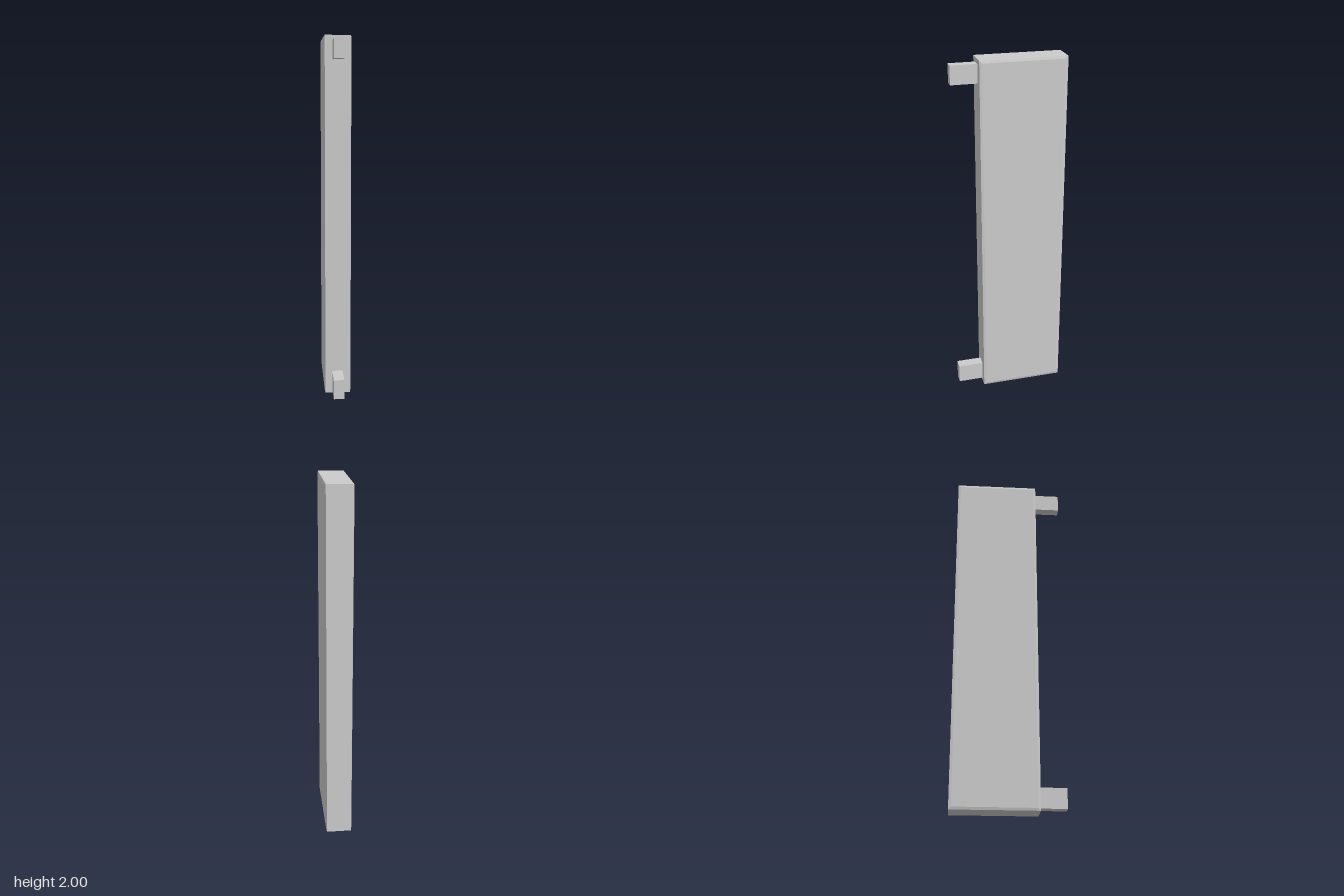
import * as THREE from 'three';

const material = new THREE.MeshStandardMaterial({ color: 0xcccccc, flatShading: true });

// Box given by its [min, max] range on each axis
function addBox(group, name, [x0, x1], [y0, y1], [z0, z1]) {
  const mesh = new THREE.Mesh(new THREE.BoxGeometry(x1 - x0, y1 - y0, z1 - z0), material);
  mesh.position.set((x0 + x1) / 2, (y0 + y1) / 2, (z0 + z1) / 2);
  mesh.name = name;
  group.add(mesh);
}

// Raised side face: a box whose outer face is inset to form a shallow bevel
function addRaisedFace(group, name, side) {
  const inner = 0.07, rise = 0.004, inset = 0.014;
  const height = 2, depth = 0.475;
  const geometry = new THREE.BoxGeometry(rise, height, depth);
  const p = geometry.attributes.position;
  for (let i = 0; i < p.count; i++) {
    if (p.getX(i) * side > 0) {
      p.setY(i, p.getY(i) - Math.sign(p.getY(i)) * inset);
      p.setZ(i, p.getZ(i) - Math.sign(p.getZ(i)) * inset);
    }
  }
  geometry.computeVertexNormals();
  const mesh = new THREE.Mesh(geometry, material);
  mesh.position.set(side * (inner + rise / 2), 1, -0.0725);
  mesh.name = name;
  group.add(mesh);
}

export function createModel() {
  const model = new THREE.Group();
  model.name = 'panelWithBrackets';

  // Tall slab with a bevelled face on each side
  addBox(model, 'panelBody', [-0.07, 0.07], [0, 2], [-0.31, 0.165]);
  addRaisedFace(model, 'leftFace', 1);
  addRaisedFace(model, 'rightFace', -1);

  // Mounting tabs on the front edge
  addBox(model, 'upperBracket', [-0.028, 0.026], [1.873, 1.975], [0.16, 0.31]);
  addBox(model, 'lowerBracket', [-0.031, 0.028], [0.02, 0.13], [0.16, 0.31]);

  return model;
}
